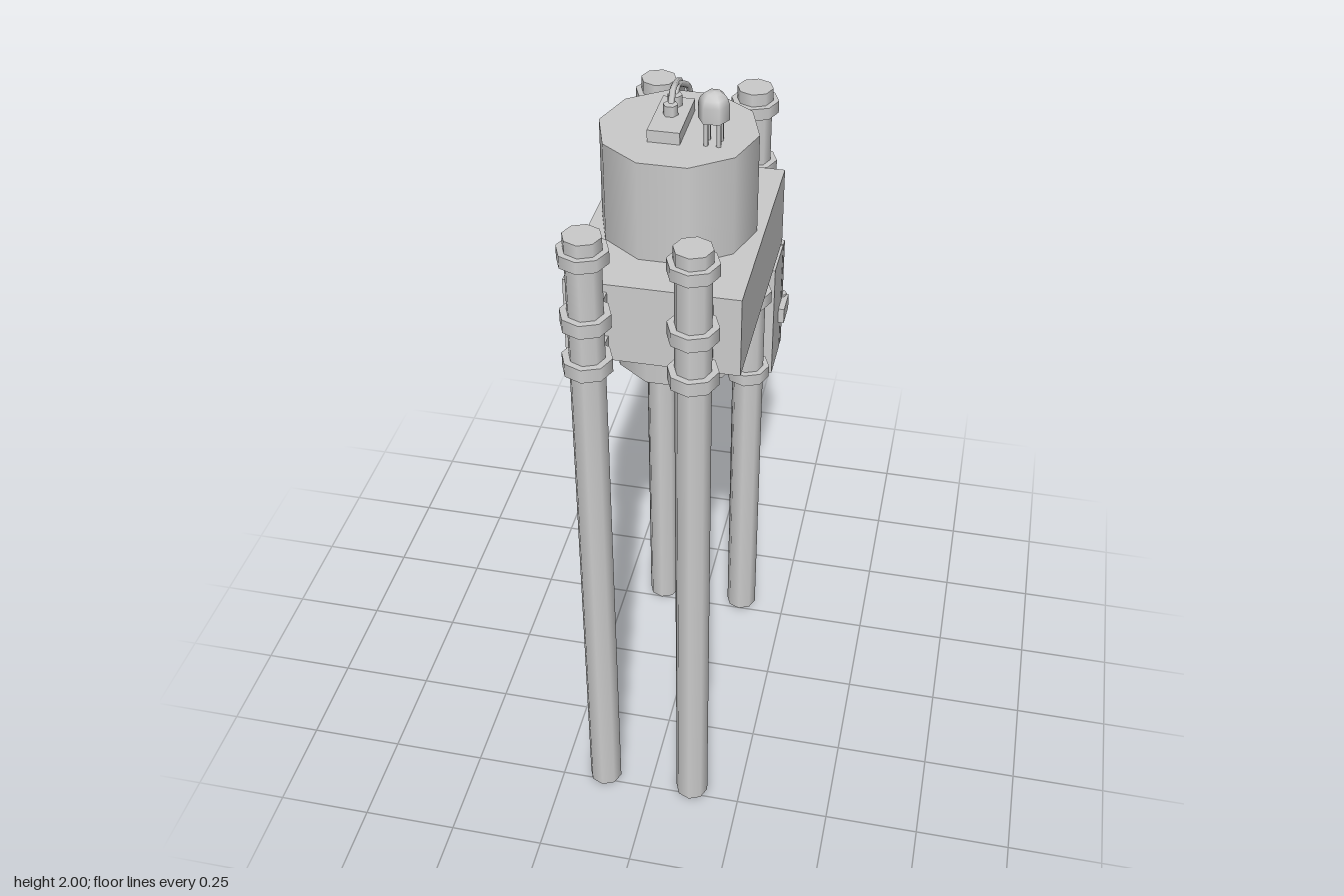
import * as THREE from 'three';

export function createModel() {
  const model = new THREE.Group();
  const mat = new THREE.MeshStandardMaterial({ color: 0xcccccc });
  const openMat = new THREE.MeshStandardMaterial({ color: 0xcccccc, side: THREE.DoubleSide });

  const add = (name, geometry, material = mat) => {
    const mesh = new THREE.Mesh(geometry, material);
    mesh.name = name;
    model.add(mesh);
    return mesh;
  };
  // Box given by its limits on each axis
  const box = (name, x0, x1, y0, y1, z0, z1) =>
    add(name, new THREE.BoxGeometry(x1 - x0, y1 - y0, z1 - z0))
      .position.set((x0 + x1) / 2, (y0 + y1) / 2, (z0 + z1) / 2);
  // Upright prism from y0 to y1; turn puts a corner on the x axis
  const post = (name, r, y0, y1, x, z, sides, turn = 0, open = false) => {
    const mesh = add(name, new THREE.CylinderGeometry(r, r, y1 - y0, sides, 1, open), open ? openMat : mat);
    mesh.position.set(x, (y0 + y1) / 2, z);
    mesh.rotation.y = turn;
  };

  // Central housing and drum
  box('housing', -0.21, 0.21, 1.402, 1.614, -0.21, 0.39);
  post('upperDrum', 0.191, 1.614, 1.87, 0, 0.09, 10, Math.PI / 2);
  post('lowerDrum', 0.163, 1.24, 1.402, 0, 0.095, 10, Math.PI / 2);

  // Four tubular legs with caps, clamps and brackets
  for (const x of [-0.134, 0.115]) {
    for (const z of [0.474, -0.292]) {
      const back = z < 0;
      post('leg', 0.044, 0, 1.75, x, z, 8, 0, true);
      post('capRim', 0.061, 1.73, 1.762, x, z, 8);
      post('capTop', 0.046, 1.762, 1.795, x, z, 8);
      for (const y of [1.575, 1.452]) {
        post('clamp', 0.061, y - 0.018, y + 0.018, x, z, 8);
        box('housingBracket', x - 0.029, x + 0.029, y - 0.018, y + 0.018,
          back ? z : 0.385, back ? -0.205 : z);
      }
      if (back) {
        for (const y of [1.167, 0.912]) {
          post('cabinetClamp', 0.061, y - 0.018, y + 0.018, x, z, 8);
          box('cabinetBracket', x - 0.029, x + 0.029, y - 0.018, y + 0.018, -0.36, z);
        }
      }
    }
  }

  // Control cabinet with door, hinges and latch
  box('cabinet', -0.177, 0.174, 0.86, 1.21, -0.49, -0.356);
  box('doorSeal', -0.165, 0.162, 0.872, 1.198, -0.497, -0.488);
  box('door', -0.177, 0.174, 0.862, 1.208, -0.522, -0.496);
  for (const y of [0.93, 1.14]) post('hinge', 0.011, y - 0.025, y + 0.025, -0.176, -0.494, 6);
  box('latchPlate', 0.172, 0.191, 0.975, 1.022, -0.528, -0.446);
  post('latchKnob', 0.015, 0.968, 1.028, 0.17, -0.522, 8);

  // Cable entry plates and hexagonal glands
  box('cabinetEntryPlate', -0.155, 0.02, 1.21, 1.237, -0.467, -0.39);
  box('drumEntryPlate', -0.057, 0.02, 1.87, 1.9, 0, 0.172);
  for (const [x, y, z] of [[-0.068, 1.237, -0.427], [-0.02, 1.237, -0.427],
    [-0.02, 1.9, 0.037], [-0.02, 1.9, 0.086]]) {
    post('cableGland', 0.018, y, y + 0.026, x, z, 6, Math.PI / 2);
  }

  // Two cables draped from the drum to the cabinet
  const cables = [
    [[-0.02, 1.91, 0.086], [-0.021, 1.945, 0.06], [-0.024, 1.94, 0.01], [-0.03, 1.905, -0.07],
      [-0.034, 1.85, -0.108], [-0.035, 1.75, -0.112], [-0.037, 1.67, -0.14], [-0.042, 1.625, -0.22],
      [-0.048, 1.58, -0.28], [-0.055, 1.42, -0.35], [-0.066, 1.31, -0.415], [-0.068, 1.25, -0.427]],
    [[-0.02, 1.91, 0.037], [-0.021, 1.935, 0.015], [-0.018, 1.91, -0.05], [-0.014, 1.87, -0.1],
      [-0.012, 1.77, -0.106], [-0.014, 1.66, -0.15], [-0.014, 1.625, -0.205], [-0.013, 1.55, -0.23],
      [-0.014, 1.46, -0.27], [-0.017, 1.37, -0.35], [-0.02, 1.3, -0.42], [-0.02, 1.25, -0.427]],
  ];
  for (const points of cables) {
    const path = new THREE.CatmullRomCurve3(points.map((p) => new THREE.Vector3(...p)));
    add('cable', new THREE.TubeGeometry(path, 40, 0.008, 6));
  }

  // Domed lamp on four thin pins
  const lampX = 0.093, lampZ = 0.145;
  const profile = [[0, 1.932], [0.037, 1.932], [0.037, 1.932], [0.037, 1.97],
    [0.031, 1.986], [0.019, 1.997], [0, 2]].map(([r, y]) => new THREE.Vector2(r, y));
  const lamp = add('lamp', new THREE.LatheGeometry(profile, 6));
  lamp.position.set(lampX, 0, lampZ);
  lamp.rotation.y = Math.PI / 2;
  for (const dx of [-0.015, 0.015]) {
    for (const dz of [-0.015, 0.015]) {
      post('lampPin', 0.006, 1.87, 1.935, lampX + dx, lampZ + dz, 6);
    }
  }

  return model;
}
